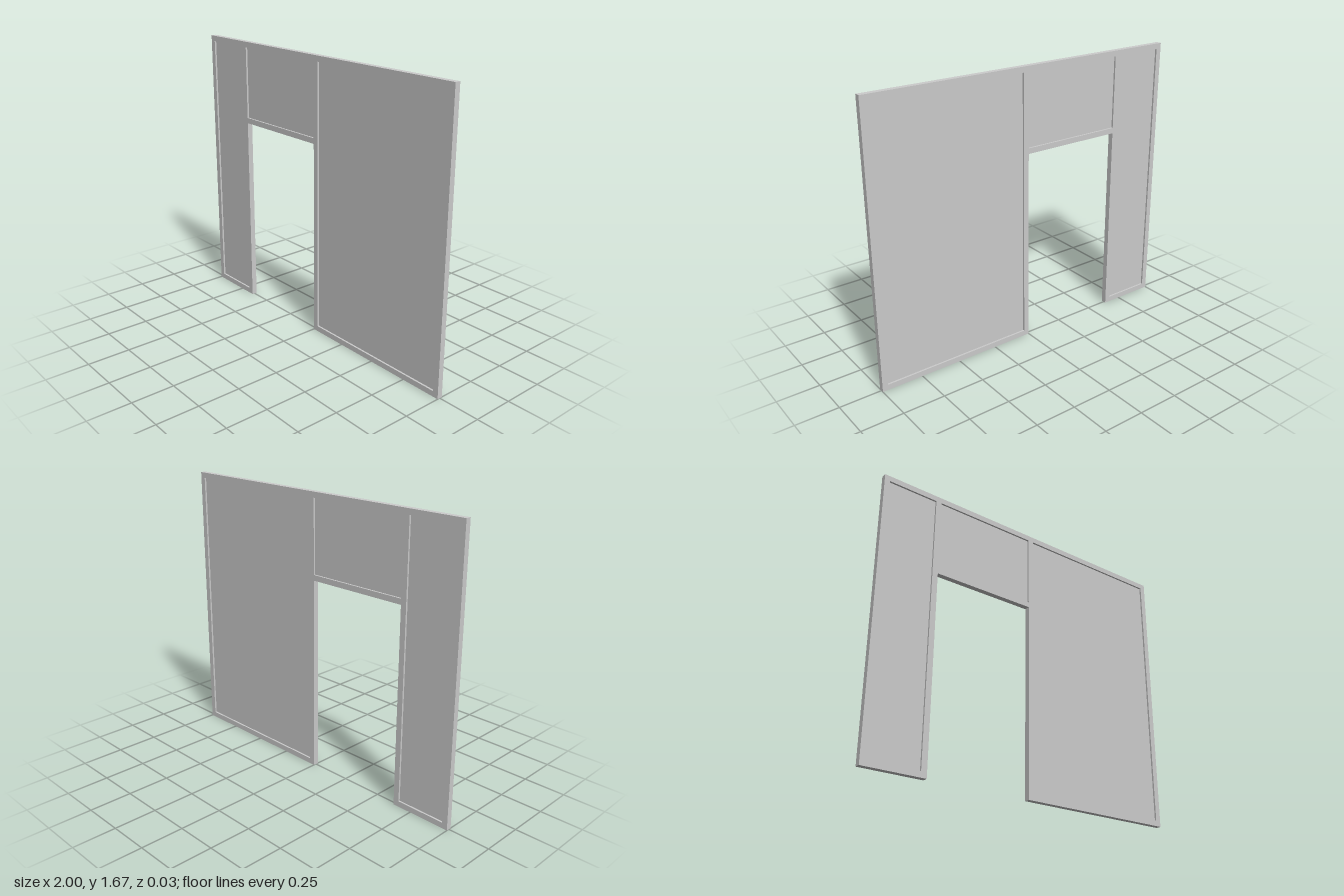
import * as THREE from 'three';

const HEIGHT = 1.667;
const DEPTH = 0.033;   // frame thickness
const PANE = 0.011;    // infill thickness, recessed on both faces
const RAIL = 0.033;    // visible width of the frame members

// Openings filled by recessed panels: [name, x0, y0, x1, y1]
const bays = [
  ['narrowSidePanel', -1 + RAIL, RAIL, -0.667, HEIGHT - RAIL],
  ['overDoorPanel', -0.633, 1.167 + RAIL, 0, HEIGHT - RAIL],
  ['wideSidePanel', RAIL, RAIL, 1 - RAIL, HEIGHT - RAIL],
];

function outline(PathType, points) {
  return new PathType(points.map(([x, y]) => new THREE.Vector2(x, y)));
}

export function createModel() {
  const group = new THREE.Group();
  group.name = 'partitionWall';
  const material = new THREE.MeshStandardMaterial({ color: 0xcccccc });

  // Frame: outer contour with the doorway cut in, one hole per bay
  const shape = outline(THREE.Shape, [
    [-1, 0], [-0.633, 0], [-0.633, 1.167], [0, 1.167],
    [0, 0], [1, 0], [1, HEIGHT], [-1, HEIGHT],
  ]);
  for (const [, x0, y0, x1, y1] of bays) {
    shape.holes.push(outline(THREE.Path, [[x0, y0], [x0, y1], [x1, y1], [x1, y0]]));
  }
  const frameGeometry = new THREE.ExtrudeGeometry(shape, { depth: DEPTH, bevelEnabled: false });
  frameGeometry.translate(0, 0, -DEPTH / 2);
  const frame = new THREE.Mesh(frameGeometry, material);
  frame.name = 'frame';
  group.add(frame);

  // Thin panels centred in the frame depth
  for (const [name, x0, y0, x1, y1] of bays) {
    const panel = new THREE.Mesh(new THREE.BoxGeometry(x1 - x0, y1 - y0, PANE), material);
    panel.name = name;
    panel.position.set((x0 + x1) / 2, (y0 + y1) / 2, 0);
    group.add(panel);
  }
  return group;
}
